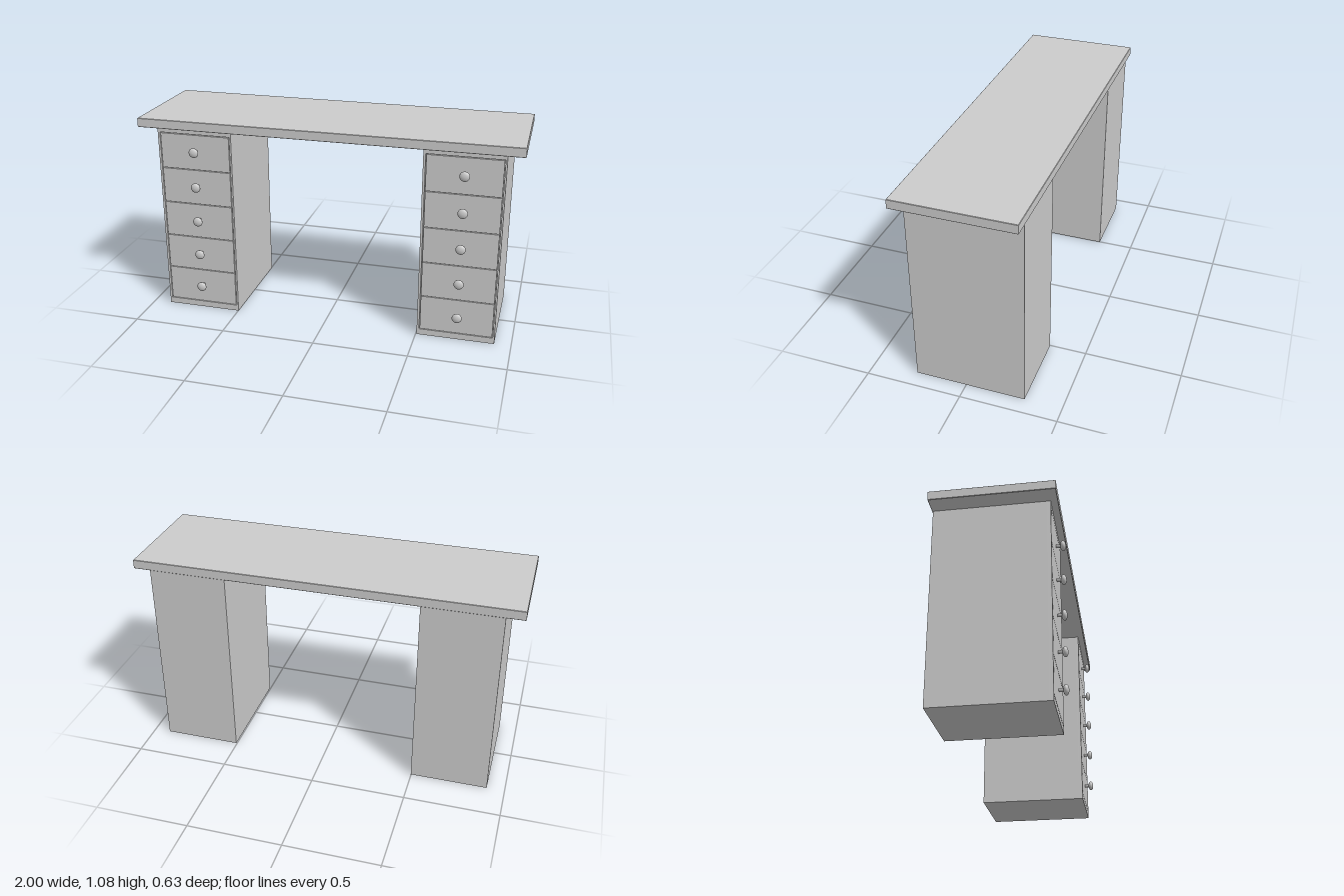
import * as THREE from 'three';

const material = new THREE.MeshStandardMaterial({ color: 0xcccccc });

const WIDTH = 0.408, HEIGHT = 1.035, BACK = -0.307, FRONT = 0.267;
const RECESS = 0.02;
const OPENING = { x0: -0.192, x1: 0.195, y0: 0.033, y1: 1.006 };
const DRAWERS = 5, GAP = 0.004;

function add(parent, name, geometry, x = 0, y = 0, z = 0) {
  const mesh = new THREE.Mesh(geometry, material);
  mesh.name = name;
  mesh.position.set(x, y, z);
  parent.add(mesh);
  return mesh;
}

// Rectangle traced as a shape or a hole
function rectangle(path, x0, y0, x1, y1) {
  path.moveTo(x0, y0);
  path.lineTo(x1, y0);
  path.lineTo(x1, y1);
  path.lineTo(x0, y1);
  path.closePath();
  return path;
}

// Stem and flattened round head, turned about the axis pointing forward
function knobGeometry() {
  const points = [[0, 0], [0.008, 0], [0.008, 0.022]].map(p => new THREE.Vector2(...p));
  for (let i = 2; i <= 12; i++) {
    const a = (i / 12) * Math.PI;
    points.push(new THREE.Vector2(0.026 * Math.sin(a), 0.034 - 0.014 * Math.cos(a)));
  }
  return new THREE.LatheGeometry(points, 24).rotateX(Math.PI / 2);
}

function createCabinet(name, x) {
  const cabinet = new THREE.Group();
  cabinet.name = name;
  cabinet.position.x = x;

  // Carcass with a shallow framed opening at the front
  const depth = FRONT - RECESS - BACK;
  add(cabinet, 'carcass', new THREE.BoxGeometry(WIDTH, HEIGHT, depth), 0, HEIGHT / 2, BACK + depth / 2);
  const frame = rectangle(new THREE.Shape(), -WIDTH / 2, 0, WIDTH / 2, HEIGHT);
  frame.holes.push(rectangle(new THREE.Path(), OPENING.x0, OPENING.y0, OPENING.x1, OPENING.y1));
  add(cabinet, 'faceFrame', new THREE.ExtrudeGeometry(frame, { depth: RECESS, bevelEnabled: false }), 0, 0, FRONT - RECESS);

  // Stack of flush drawers, separated by thin gaps
  const pitch = (OPENING.y1 - OPENING.y0 - GAP) / DRAWERS;
  const width = OPENING.x1 - OPENING.x0 - 2 * GAP;
  const front = new THREE.BoxGeometry(width, pitch - GAP, RECESS);
  const knob = knobGeometry();
  for (let i = 0; i < DRAWERS; i++) {
    const drawer = new THREE.Group();
    drawer.name = `drawer${i + 1}`;
    drawer.position.y = OPENING.y0 + GAP / 2 + pitch * (i + 0.5);
    add(drawer, 'drawerFront', front, (OPENING.x0 + OPENING.x1) / 2, 0, FRONT - RECESS / 2);
    add(drawer, 'knob', knob, 0.007, 0.009, FRONT);
    cabinet.add(drawer);
  }
  return cabinet;
}

export function createModel() {
  const desk = new THREE.Group();
  desk.name = 'desk';

  // Table top with very slightly eased edges
  const e = 0.002, x = 1 - e, z0 = -0.302 + e, z1 = 0.312 - e;
  const outline = rectangle(new THREE.Shape(), -x, z0, x, z1);
  const top = new THREE.ExtrudeGeometry(outline, {
    depth: 0.048 - 2 * e, bevelThickness: e, bevelSize: e, bevelSegments: 1,
  }).rotateX(-Math.PI / 2);
  add(desk, 'tableTop', top, 0, HEIGHT + e, 0);

  // Drawer cabinets
  desk.add(createCabinet('rightCabinet', -0.702), createCabinet('leftCabinet', 0.709));
  return desk;
}
